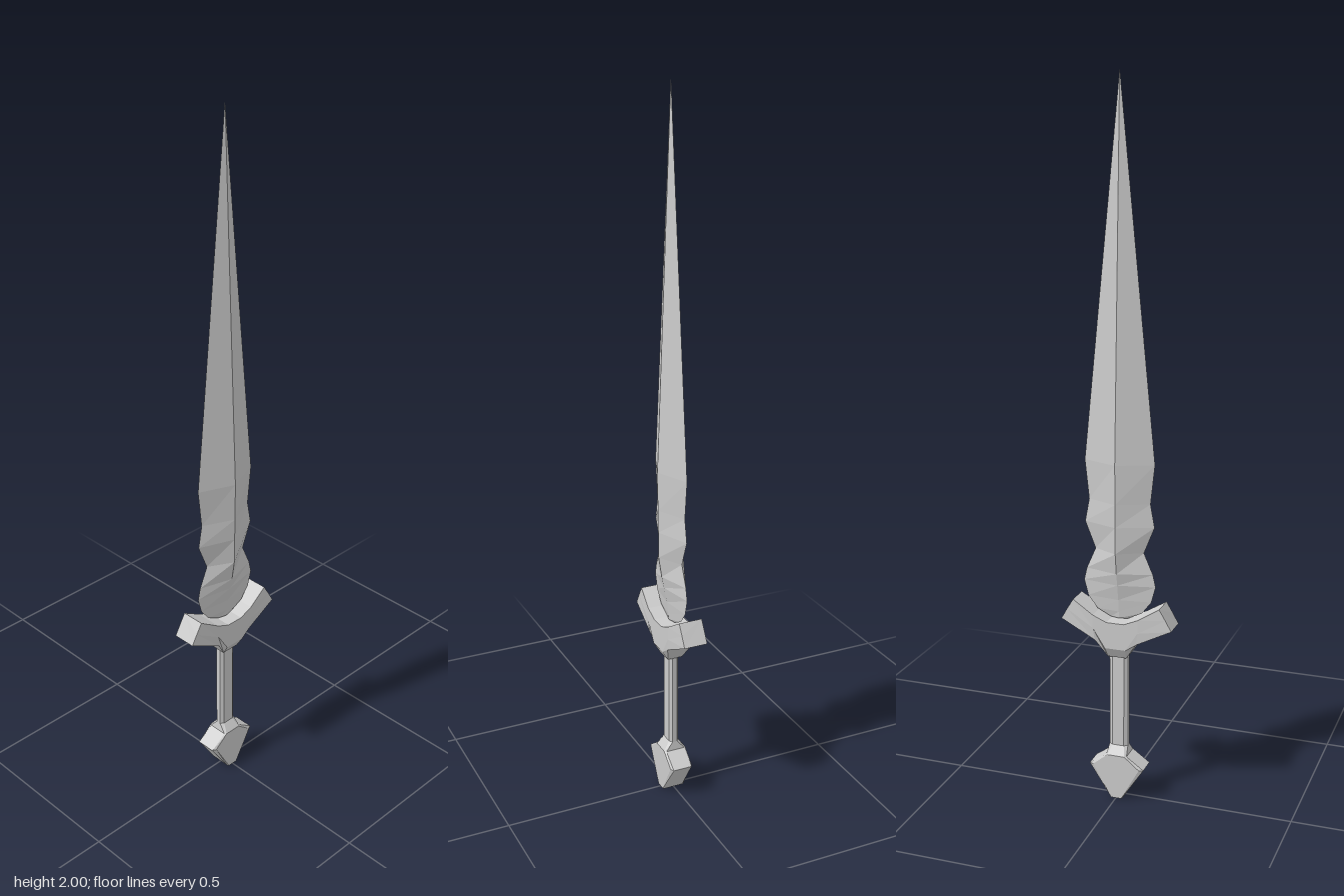
import * as THREE from 'three';

const material = new THREE.MeshStandardMaterial({ color: 0xcccccc, flatShading: true });

// Skins a closed, faceted surface over rings of equal point count and caps both ends.
function loft(name, rings) {
  const pos = [];
  const tri = (a, b, c) => pos.push(...a, ...b, ...c);
  const n = rings[0].length;
  for (let r = 0; r < rings.length - 1; r++) {
    const a = rings[r], b = rings[r + 1];
    for (let i = 0; i < n; i++) {
      const j = (i + 1) % n;
      tri(a[i], a[j], b[j]);
      tri(a[i], b[j], b[i]);
    }
  }
  const first = rings[0], last = rings[rings.length - 1];
  for (let i = 1; i < n - 1; i++) {
    tri(first[0], first[i + 1], first[i]);
    tri(last[0], last[i], last[i + 1]);
  }
  const g = new THREE.BufferGeometry();
  g.setAttribute('position', new THREE.Float32BufferAttribute(pos, 3));
  g.computeVertexNormals();
  const mesh = new THREE.Mesh(g, material);
  mesh.name = name;
  return mesh;
}

// Horizontal diamond section
const diamond = ([y, hx, hz]) => [[hx, y, 0], [0, y, -hz], [-hx, y, 0], [0, y, hz]];

// Horizontal rectangle with bevelled corners
const bevelled = ([y, hx, hz, bx, bz]) => [
  [hx, y, hz - bz], [hx, y, bz - hz], [hx - bx, y, -hz], [bx - hx, y, -hz],
  [-hx, y, bz - hz], [-hx, y, hz - bz], [bx - hx, y, hz], [hx - bx, y, hz],
];

// Guard section from its top, middle and bottom points, each [x, y, half depth]
const guardRing = (side, [t, m, b]) => [
  [t, -1], [t, 1], [m, 1], [b, 1], [b, -1], [m, -1],
].map(([p, s]) => [side * p[0], p[1], s * p[2]]);

export function createModel() {
  const model = new THREE.Group();
  model.name = 'dagger';

  // Blade: ridged leaf with a waisted, rounded base
  model.add(loft('blade', [
    [0.535, 0.025, 0.006],
    [0.555, 0.065, 0.008],
    [0.59, 0.092, 0.012],
    [0.635, 0.104, 0.021],
    [0.67, 0.096, 0.028],
    [0.73, 0.07, 0.037],
    [0.805, 0.1, 0.038],
    [0.87, 0.088, 0.039],
    [0.98, 0.1, 0.04],
    [2.0, 0.0005, 0.0005],
  ].map(diamond)));

  // Guard: upswept arms, narrowing below to the grip
  const arm = [
    [[0.125, 0.585, 0.034], [0.143, 0.555, 0.034], [0.16, 0.525, 0.034]],
    [[0.065, 0.548, 0.04], [0.065, 0.51, 0.04], [0.06, 0.475, 0.038]],
    [[0.025, 0.531, 0.04], [0.03, 0.455, 0.04], [0.027, 0.425, 0.022]],
  ];
  model.add(loft('guard', [
    ...arm.map((s) => guardRing(-1, s)),
    ...[...arm].reverse().map((s) => guardRing(1, s)),
  ]));

  // Grip: slim bevelled bar
  model.add(loft('grip', [
    [0.13, 0.027, 0.014, 0.01, 0.007],
    [0.45, 0.027, 0.014, 0.01, 0.007],
  ].map(bevelled)));

  // Pommel: arrow-like block with a sloped collar
  model.add(loft('pommel', [
    [0, 0.018, 0.033, 0.003, 0.005],
    [0.095, 0.08, 0.033, 0.012, 0.005],
    [0.13, 0.03, 0.033, 0.005, 0.005],
    [0.155, 0.027, 0.014, 0.01, 0.007],
  ].map(bevelled)));

  return model;
}
